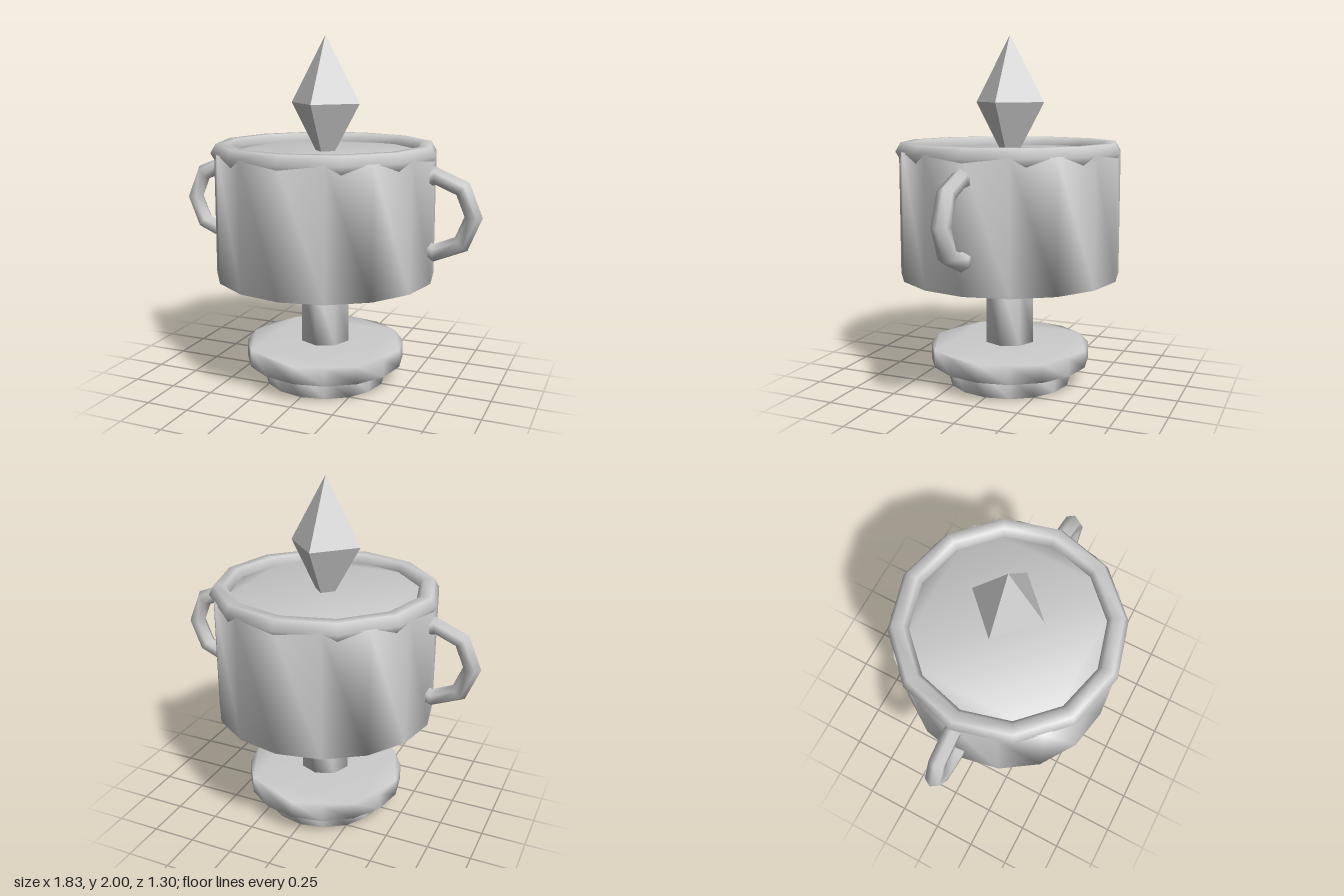
import * as THREE from 'three';
import { mergeVertices } from 'three/addons/utils/BufferGeometryUtils.js';

const smoothMat = new THREE.MeshStandardMaterial({ color: 0xcccccc });
const flatMat = new THREE.MeshStandardMaterial({ color: 0xcccccc, flatShading: true });

// Weld all corners so that shading runs softly over every edge
function soften(geometry) {
  geometry.deleteAttribute('uv');
  geometry.deleteAttribute('normal');
  const welded = mergeVertices(geometry, 1e-4);
  welded.computeVertexNormals();
  return welded;
}

// Upright solid drum with polygon caps
function drum(radius, bottom, top, sides) {
  const points = [];
  for (let i = 0; i < sides; i++) {
    const a = (i / sides) * Math.PI * 2;
    points.push(new THREE.Vector2(radius * Math.cos(a), radius * Math.sin(a)));
  }
  const geometry = new THREE.ExtrudeGeometry(new THREE.Shape(points), {
    depth: top - bottom, bevelEnabled: false, steps: 1,
  });
  geometry.rotateX(-Math.PI / 2);
  geometry.translate(0, bottom, 0);
  return soften(geometry);
}

export function createModel() {
  const group = new THREE.Group();
  const add = (name, geometry, material = smoothMat) => {
    const mesh = new THREE.Mesh(geometry, material);
    mesh.name = name;
    group.add(mesh);
    return mesh;
  };

  // Pedestal
  add('foot', drum(0.357, 0, 0.12, 16));
  add('basePlate', drum(0.463, 0.12, 0.22, 16));
  add('stem', drum(0.147, 0.235, 0.615, 8));

  // Cup with a low-sided ring as its lip
  add('cup', drum(0.635, 0.637, 1.355, 16));
  const rim = add('rim', soften(new THREE.TorusGeometry(0.59, 0.06, 6, 12)));
  rim.rotation.x = Math.PI / 2;
  rim.position.y = 1.35;

  // Ring handles, sunk into the cup wall
  for (const [name, side] of [['leftHandle', 1], ['rightHandle', -1]]) {
    const handle = add(name, soften(new THREE.TorusGeometry(0.215, 0.05, 6, 8)));
    handle.position.set(side * 0.65, 1.033, 0);
  }

  // Four-sided crystal: pointed crown on a tapered, cut-off lower half
  const crown = new THREE.ConeGeometry(0.208, 0.375, 4, 1, true);
  crown.translate(0, 1.8125, 0);
  add('crystalTop', crown, flatMat);
  const lower = new THREE.CylinderGeometry(0.208, 0.06, 0.27, 4);
  lower.translate(0, 1.49, 0);
  add('crystalBottom', lower, flatMat);

  return group;
}
